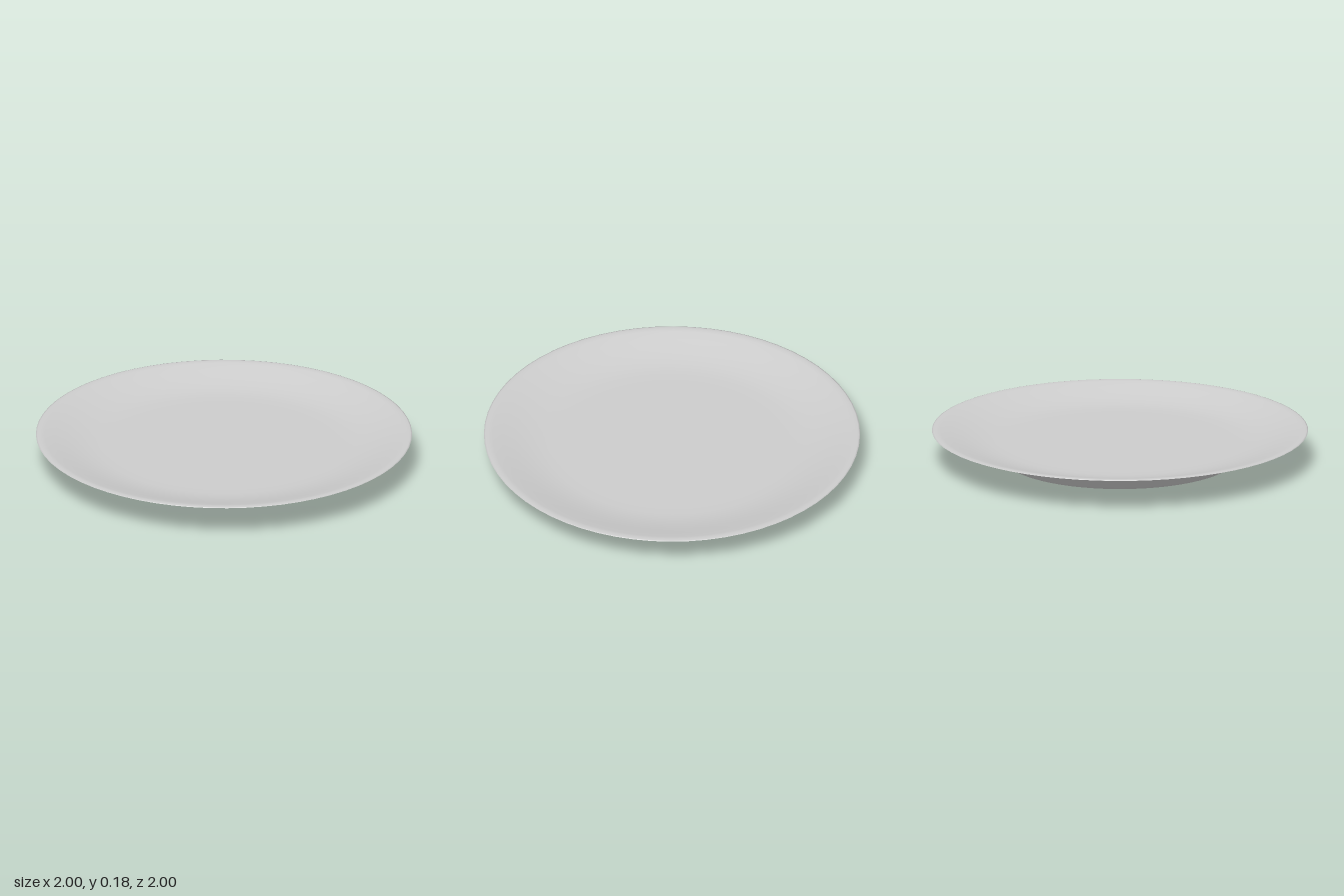
import * as THREE from 'three';

export function createModel() {
  const group = new THREE.Group();
  group.name = 'plate';
  const material = new THREE.MeshStandardMaterial({ color: 0xcccccc });

  // closed profile: underside outward, rounded rim, then the shallow inside back to the centre
  const underside = [[0, 0], [0.42, 0], [0.53, 0.005], [0.62, 0.025], [0.7, 0.067], [0.79, 0.114], [0.9, 0.15], [0.98, 0.172]];
  const rim = [[0.995, 0.175], [1, 0.177], [0.992, 0.179], [0.975, 0.18]];
  const inside = [[0.955, 0.177], [0.9, 0.162], [0.84, 0.145], [0.78, 0.13], [0.72, 0.119], [0.66, 0.113], [0.58, 0.112], [0, 0.112]];
  const profile = [...underside, ...rim, ...inside].map(([r, y]) => new THREE.Vector2(r, y));

  const dish = new THREE.Mesh(new THREE.LatheGeometry(profile, 64), material);
  dish.name = 'dish';
  group.add(dish);
  return group;
}
